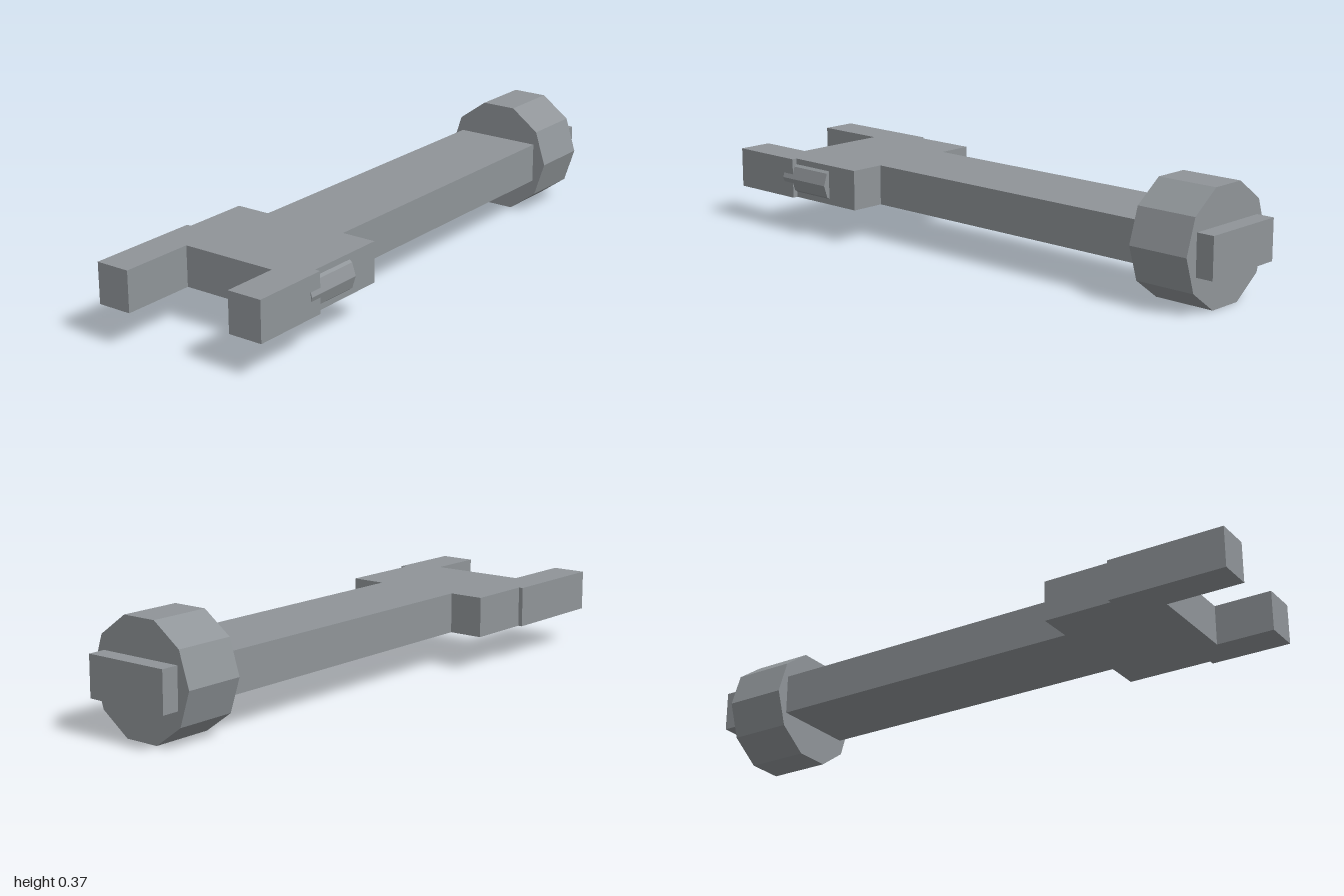
import * as THREE from 'three';

const steel = new THREE.MeshStandardMaterial({ color: 0x8f9498, flatShading: true });
steel.name = 'steel grey';

const BOTTOM = 0.12, TOP = 0.255, AXIS_Y = 0.187;

// Ten-sided bar along z, with a corner pointing to +x
function decagon(name, radius, x, zBack, zFront) {
  const geo = new THREE.CylinderGeometry(radius, radius, zFront - zBack, 10, 1, false, Math.PI / 2);
  geo.rotateX(Math.PI / 2);
  const mesh = new THREE.Mesh(geo, steel);
  mesh.name = name;
  mesh.position.set(x, AXIS_Y, (zBack + zFront) / 2);
  return mesh;
}

export function createModel() {
  const group = new THREE.Group();
  group.name = 'forkedRod';

  // Shaft, head and two uneven prongs as one flat outline (x, z)
  const outline = [
    [-0.155, -1], [0.145, -1], [0.145, 0.38], [0.265, 0.38],
    [0.265, 0.67], [0.283, 0.67], [0.283, 0.94], [0.163, 0.94],
    [0.163, 0.745], [-0.171, 0.745], [-0.171, 1], [-0.29, 1],
    [-0.29, 0.61], [-0.275, 0.61], [-0.275, 0.38], [-0.155, 0.38],
  ].map(([x, z]) => new THREE.Vector2(x, z));
  const bodyGeo = new THREE.ExtrudeGeometry(new THREE.Shape(outline), {
    depth: TOP - BOTTOM, bevelEnabled: false,
  });
  bodyGeo.rotateX(Math.PI / 2).translate(0, TOP, 0);
  const body = new THREE.Mesh(bodyGeo, steel);
  body.name = 'shaftAndFork';
  group.add(body);

  // Collar around the rear of the shaft
  group.add(decagon('collar', 0.196, -0.004, -0.94, -0.73));

  // Pin sunk into the head, showing along its left side
  group.add(decagon('pin', 0.07, 0.218, 0.505, 0.715));

  return group;
}
